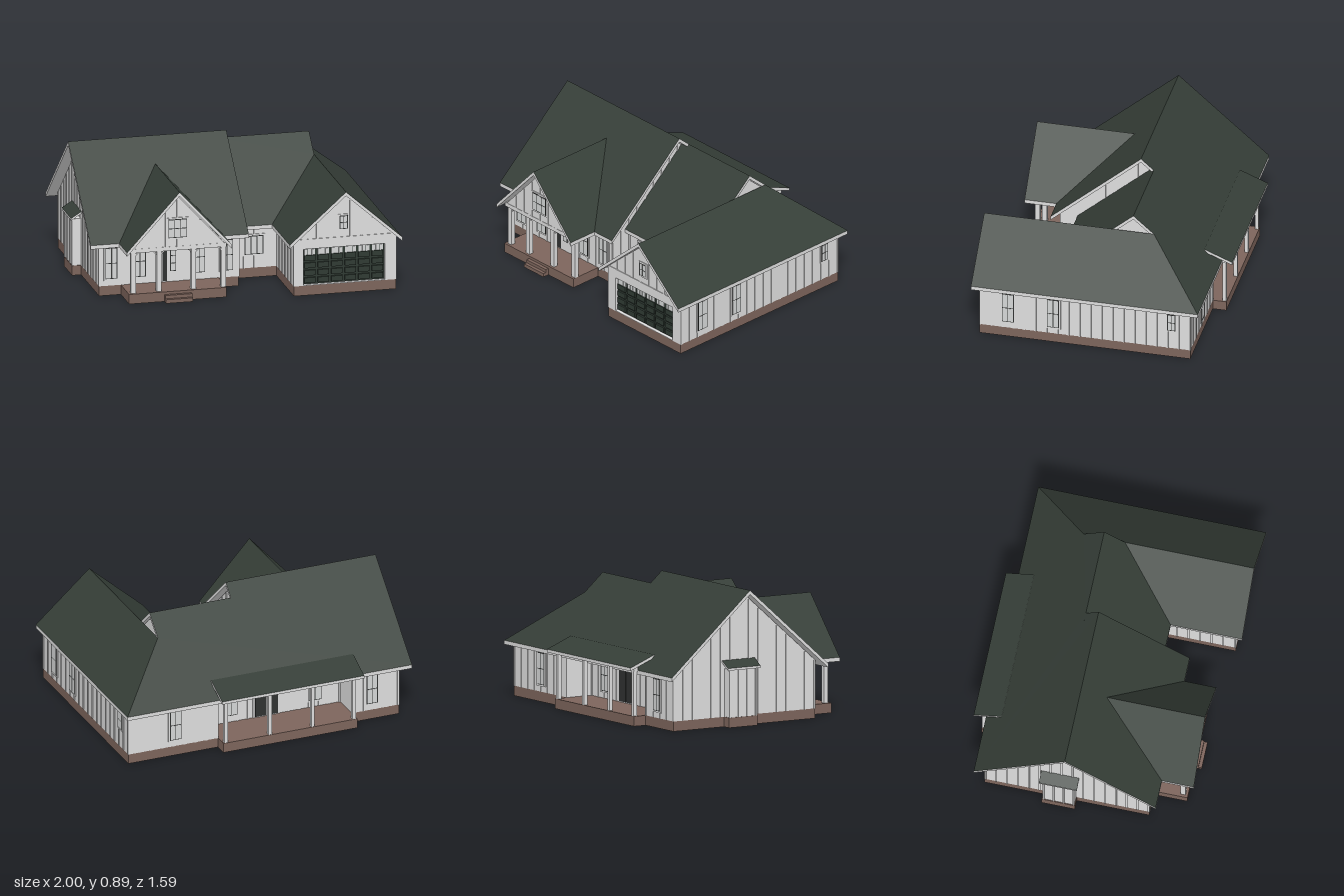
import * as THREE from 'three';
import { mergeGeometries } from 'three/addons/utils/BufferGeometryUtils.js';

const mat = (name, color) => Object.assign(new THREE.MeshStandardMaterial({ color }), { name });

export function createModel() {
  const roofMat = mat('dark green roofing', 0x353e37);
  const wallMat = mat('white siding', 0xdfdfdf);
  const brick = mat('brown brick', 0x7d655c);
  brick.side = THREE.DoubleSide;
  const doorMat = mat('dark green door', 0x2f3a33);
  const frameMat = mat('dark frame', 0x303231);
  const glassMat = mat('pale glass', 0xd6d8d8);
  const slabMat = mat('grey concrete', 0x868686);

  const house = new THREE.Group();
  house.name = 'house';
  const add = (name, geo, material, parent = house) => {
    const mesh = new THREE.Mesh(geo, material);
    mesh.name = name;
    parent.add(mesh);
    return mesh;
  };
  // Box from its minimum and maximum corners
  const boxGeo = (x0, x1, y0, y1, z0, z1) =>
    new THREE.BoxGeometry(x1 - x0, y1 - y0, z1 - z0).translate((x0 + x1) / 2, (y0 + y1) / 2, (z0 + z1) / 2);
  const box = (name, m, ...c) => add(name, boxGeo(...c), m);
  const shape = pts => new THREE.Shape(pts.map(p => new THREE.Vector2(...p)));
  const extrude = (s, depth) => new THREE.ExtrudeGeometry(s, { depth, bevelEnabled: false });

  // Foundation: a brick skirt open below, with the floor on top
  const footprint = [[-.93, .43], [-.785, .43], [-.785, .65], [-.135, .65], [-.135, .43], [0, .43], [0, .27],
    [.29, .27], [.29, .74], [.97, .74], [.97, -.66], [.34, -.66], [.34, -.75], [-.6, -.75], [-.6, -.66],
    [-.93, -.66], [-.93, -.27], [-.99, -.27], [-.99, -.05], [-.93, -.05]];
  add('floor', new THREE.ShapeGeometry(shape(footprint)).rotateX(Math.PI / 2).translate(0, .065, 0), brick);
  add('foundationSkirt', mergeGeometries(footprint.map(([x, z], i) => {
    const [x1, z1] = footprint[(i + 1) % footprint.length];
    return new THREE.PlaneGeometry(Math.hypot(x1 - x, z1 - z), .065)
      .rotateY(-Math.atan2(z1 - z, x1 - x)).translate((x + x1) / 2, .0325, (z + z1) / 2);
  })), brick);
  box('lowerStep', brick, -.55, -.37, 0, .025, .65, .695);
  box('upperStep', brick, -.55, -.37, 0, .047, .65, .673);
  box('garageSlab', slabMat, .292, .968, .058, .063, .02, .738);

  // Wall blocks with a gable section, running along x
  const S = .87;
  const block = (name, x0, x1, zb, zf, rz, ry) => {
    const h = z => ry - .03 - S * Math.abs(z - rz);
    const g = extrude(shape([[zb, .065], [zf, .065], [zf, h(zf)], [rz, h(rz)], [zb, h(zb)]]), x1 - x0);
    add(name, g.rotateY(-Math.PI / 2).translate(x1, 0, 0), wallMat);
  };
  block('leftWalls', -.93, -.6, -.66, .43, -.115, .885);
  block('mainWalls', -.6, 0, -.47, .43, -.115, .885);
  block('middleWalls', 0, .34, -.47, .27, -.2, .811);
  block('rightWalls', .34, .605, -.66, .27, -.2, .811);
  box('rearCornerWalls', wallMat, .34, .97, .065, .36, -.66, -.3);
  box('rearPorchCeiling', wallMat, -.6, .34, .352, .362, -.7, -.46);
  const garageSection = () => shape([[.29, .065], [.97, .065], [.97, .36], [.625, .664], [.29, .373]]);
  add('garageWalls', extrude(garageSection(), 1.04).translate(0, 0, -.33), wallMat);
  const garageFront = garageSection();
  garageFront.holes.push(new THREE.Path([[.355, .068], [.355, .312], [.895, .312], [.895, .068]]
    .map(p => new THREE.Vector2(...p))));
  add('garageFrontWall', extrude(garageFront, .03).translate(0, 0, .71), wallMat);
  add('porchGable', extrude(shape([[-.78, .355], [-.14, .355], [-.46, .705]]), .54).translate(0, 0, .1), wallMat);
  box('chimneyBay', wallMat, -.985, -.9, .065, .38, -.265, -.055);

  // Roof slab: dark top face, light edges and underside
  const roof = (name, top, drop = .026) => {
    const flat = top.map(p => new THREE.Vector2(p[0], p[2]));
    if (THREE.ShapeUtils.isClockWise(flat)) { flat.reverse(); top = [...top].reverse(); }
    const low = top.map(([x, y, z]) => [x, y - drop, z]);
    const upper = [], rest = [];
    for (const [a, b, c] of THREE.ShapeUtils.triangulateShape(flat, [])) {
      upper.push(top[a], top[c], top[b]);
      rest.push(low[a], low[b], low[c]);
    }
    top.forEach((p, i) => {
      const j = (i + 1) % top.length;
      rest.push(p, top[j], low[j], p, low[j], low[i]);
    });
    const g = new THREE.BufferGeometry();
    g.setAttribute('position', new THREE.Float32BufferAttribute([...upper, ...rest].flat(), 3));
    g.computeVertexNormals();
    g.addGroup(0, upper.length, 0);
    g.addGroup(upper.length, rest.length, 1);
    add(name, g, [roofMat, wallMat]);
  };
  const E = .362, G = .625;
  roof('mainRoofFront', [[-1, .887, -.115], [.053, .887, -.115], [.053, E, .486], [-1, E, .486]]);
  roof('roofBack', [[-1, .887, -.115], [.053, .887, -.115], [.053, .813, -.2], [G, .813, -.2],
    [G, .694, -.337], [1, E, -.716], [-1, E, -.716]]);
  roof('middleRoofFront', [[0, .813, -.2], [G, .813, -.2], [G, .694, -.063], [.25, E, .318], [0, E, .318]]);
  roof('garageRoofLeft', [[G, .694, .79], [G, .694, -.063], [.25, E, .318], [.25, E, .79]]);
  roof('garageRoofRight', [[G, .694, .79], [1, E, .79], [1, E, -.716], [G, .694, -.337]]);
  for (const [name, x] of [['porchRoofRight', -.81], ['porchRoofLeft', -.11]])
    roof(name, [[-.46, .745, .697], [-.46, .745, .048], [x, E, .486], [x, E, .697]]);
  roof('rearPorchRoof', [[-.63, .462, -.61], [.368, .462, -.61], [.368, .388, -.795], [-.63, .388, -.795]], .02);
  roof('bayRoof', [[-.92, .44, -.285], [-.92, .44, -.035], [-1, .39, -.035], [-1, .39, -.285]], .015);

  // Porch posts, braces and beams
  for (const x of [-.752, -.58, -.35, -.152]) {
    box('frontPost', wallMat, x - .016, x + .016, .065, .36, .602, .634);
    for (const s of [-1, 1]) {
      if (x + s * .03 < -.78 || x + s * .03 > -.13) continue;
      const brace = add('brace', new THREE.BoxGeometry(.045, .008, .016), wallMat);
      brace.position.set(x + s * .026, .327, .618);
      brace.rotation.z = s * Math.PI / 4;
    }
  }
  box('frontBeam', wallMat, -.785, -.135, .338, .365, .597, .642);
  for (const x of [-.77, -.15]) box('sideBeam', wallMat, x - .015, x + .015, .338, .365, .43, .61);
  for (const x of [.32, .01, -.29, -.58]) box('rearPost', wallMat, x - .012, x + .012, .065, .39, -.747, -.723);
  box('rearBeam', wallMat, -.6, .34, .358, .388, -.75, -.72);

  // Battens on a wall; axis is the direction along the wall, c its plane
  const battens = (axis, c, u0, u1, top, y0 = .065) => {
    const n = Math.max(1, Math.round((u1 - u0) / .075)), parts = [];
    for (let i = 0; i <= n; i++) {
      const u = u0 + .006 + (u1 - u0 - .012) * i / n, w = .006, d = .004;
      const h = typeof top === 'function' ? top(u) : top;
      if (h < y0 + .01) continue;
      parts.push(axis === 'x' ? boxGeo(u - w, u + w, y0, h, c - d, c + d) : boxGeo(c - d, c + d, y0, h, u - w, u + w));
    }
    add('battens', mergeGeometries(parts), wallMat);
  };
  const mainTop = z => .85 - S * Math.abs(z + .115);
  battens('x', .43, -.93, 0, .37);
  battens('x', .27, 0, .29, .37);
  battens('x', .74, .29, .97, x => .66 - .86 * Math.abs(x - G), .38);
  battens('x', .64, -.77, -.15, x => .7 - 1.08 * Math.abs(x + .46), .36);
  battens('x', -.66, -.93, -.6, .37);
  battens('x', -.66, .34, .97, .37);
  battens('x', -.47, -.6, .34, .36);
  battens('z', -.93, -.66, .43, mainTop);
  battens('z', 0, -.3, .43, mainTop);
  battens('z', .97, -.66, .74, .36);
  battens('z', .29, .27, .74, .36);
  battens('z', -.985, -.265, -.055, .38);

  // Window: casing, pane and dark glazing bars; ry turns it to face its wall
  const placed = (name, x, y, z, ry) => {
    const g = new THREE.Group();
    g.name = name;
    g.position.set(x, y, z);
    g.rotation.y = ry;
    house.add(g);
    return g;
  };
  const plate = (g, name, m, x, y, w, h, d) => add(name, boxGeo(x - w / 2, x + w / 2, y - h / 2, y + h / 2, 0, d), m, g);
  const pane = (g, x, y, w, h, cols, rows) => {
    plate(g, 'sash', frameMat, x, y, w, h, .0075);
    const b = .005, cw = (w - b) / cols, ch = (h - b) / rows;
    for (let i = 0; i < cols; i++) for (let j = 0; j < rows; j++)
      plate(g, 'glass', glassMat, x - w / 2 + b / 2 + cw * (i + .5), y - h / 2 + b / 2 + ch * (j + .5), cw - b, ch - b, .0085);
  };
  const windowAt = (x, y, z, ry, w, h, cols = 2, rows = 2) => {
    const g = placed('window', x, y, z, ry);
    plate(g, 'casing', wallMat, 0, 0, w + .02, h + .02, .006);
    pane(g, 0, 0, w, h, cols, rows);
  };
  const R = Math.PI / 2;
  for (const x of [-.85, -.66, -.265, -.08]) windowAt(x, .217, .43, 0, .08, .21);
  windowAt(.14, .22, .27, 0, .125, .125, 3, 1);
  windowAt(-.46, .487, .64, 0, .125, .125, 3, 2);
  windowAt(.62, .478, .74, 0, .055, .09);
  for (const z of [.55, .25]) windowAt(.97, .217, z, R, .08, .21);
  windowAt(.97, .26, -.535, R, .055, .12);
  for (const x of [-.74, .64]) windowAt(x, .217, -.66, Math.PI, .08, .21);
  for (const x of [-.42, .17]) windowAt(x, .217, -.47, Math.PI, .09, .21);

  // Front door and glazed rear door
  const front = placed('frontDoor', -.46, .065, .43, 0);
  plate(front, 'casing', wallMat, 0, .13, .13, .27, .005);
  plate(front, 'doorway', frameMat, -.035, .125, .03, .24, .006);
  plate(front, 'leaf', wallMat, .018, .125, .07, .24, .006);
  pane(front, .022, .15, .04, .16, 1, 3);
  const rear = placed('rearDoor', -.08, .065, -.47, Math.PI);
  plate(rear, 'casing', wallMat, 0, .13, .19, .27, .005);
  for (const s of [-1, 1]) plate(rear, 'leaf', frameMat, s * .041, .125, .078, .24, .007);

  // Garage door set back in its opening, with raised panels and a row of lights
  const garage = placed('garageDoor', .625, .065, .71, 0);
  plate(garage, 'door', doorMat, 0, .126, .54, .244, .008);
  for (let i = 0; i < 6; i++) {
    const x = -.225 + i * .09;
    for (let j = 0; j < 4; j++) plate(garage, 'panel', doorMat, x, .032 + j * .05, .074, .036, .02);
    for (const s of [-1, 0, 1]) plate(garage, 'light', glassMat, x + s * .025, .221, .022, .04, .014);
  }
  const trim = placed('garageTrim', .625, .065, .74, 0);
  plate(trim, 'header', wallMat, 0, .297, .67, .035, .005);
  return house;
}
